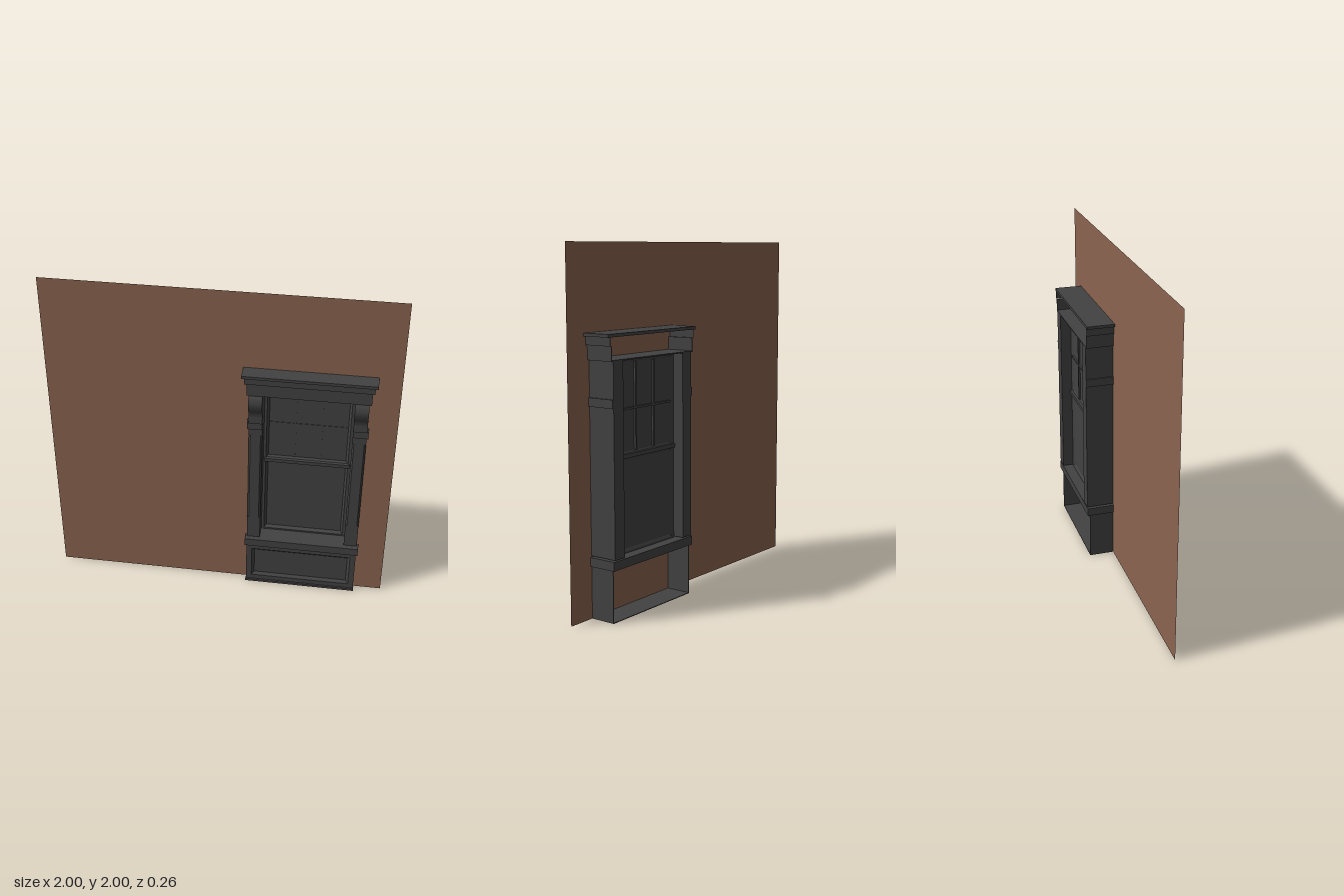
import * as THREE from 'three';

const CX = 0.5;      // centre line of the window
const WALL_Z = 0.035;
const BACK = -0.13;

export function createModel() {
  const model = new THREE.Group();
  model.name = 'windowInWall';
  const brick = new THREE.MeshStandardMaterial({ color: 0x8b6450, side: THREE.DoubleSide });
  brick.name = 'brown wall';
  const grey = new THREE.MeshStandardMaterial({ color: 0x424242, side: THREE.DoubleSide });
  grey.name = 'charcoal trim';

  const add = (name, geo, parent = model, mat = grey) => {
    const m = new THREE.Mesh(geo, mat);
    m.name = name;
    parent.add(m);
    return m;
  };
  // Box given by its extents
  const box = (name, x0, x1, y0, y1, z0, z1, parent = model) => {
    const m = add(name, new THREE.BoxGeometry(x1 - x0, y1 - y0, z1 - z0), parent);
    m.position.set((x0 + x1) / 2, (y0 + y1) / 2, (z0 + z1) / 2);
    return m;
  };
  // Centred box of half width h about the window's centre line
  const wide = (name, h, y0, y1, z0, z1, parent) => box(name, CX - h, CX + h, y0, y1, z0, z1, parent);
  const rect = (C, x0, x1, y0, y1) => {
    const s = new C();
    s.moveTo(x0, y0).lineTo(x1, y0).lineTo(x1, y1).lineTo(x0, y1).closePath();
    return s;
  };
  // Flat rectangular ring, extruded from z0 to z1
  const ring = (name, o, i, z0, z1, parent = model) => {
    const s = rect(THREE.Shape, ...o);
    s.holes.push(rect(THREE.Path, ...i));
    const g = new THREE.ExtrudeGeometry(s, { depth: z1 - z0, bevelEnabled: false });
    g.translate(0, 0, z0);
    return add(name, g, parent);
  };
  // Four sloping faces between an outer and an inner rectangle
  const bevel = (name, o, i, zo, zi, parent = model) => {
    const corners = ([x0, x1, y0, y1], z) => [[x0, y0, z], [x1, y0, z], [x1, y1, z], [x0, y1, z]];
    const a = corners(o, zo), b = corners(i, zi), pos = [];
    for (let k = 0; k < 4; k++) {
      const n = (k + 1) % 4;
      for (const p of [a[k], a[n], b[n], a[k], b[n], b[k]]) pos.push(...p);
    }
    const g = new THREE.BufferGeometry();
    g.setAttribute('position', new THREE.Float32BufferAttribute(pos, 3));
    g.computeVertexNormals();
    return add(name, g, parent);
  };
  const inset = ([x0, x1, y0, y1], d) => [x0 + d, x1 - d, y0 + d, y1 - d];

  // Wall sheet with the window opening
  const wall = rect(THREE.Shape, -1, 1, 0, 2);
  wall.holes.push(rect(THREE.Path, 0.2, 0.8, 0.315, 1.398));
  add('wall', new THREE.ShapeGeometry(wall), model, brick).position.z = WALL_Z;

  // Base with a recessed panel, thin sides and floor, open at the back
  const base = new THREE.Group();
  base.name = 'base';
  model.add(base);
  const panel = [0.2, 0.8, 0.045, 0.258];
  ring('basePanelFrame', [0.167, 0.833, 0, 0.29], panel, 0.05, 0.073, base);
  bevel('basePanelBevel', panel, inset(panel, 0.016), 0.073, 0.058, base);
  const field = inset(panel, 0.016);
  box('basePanelField', ...field, 0.05, 0.058, base);
  box('baseFloor', 0.167, 0.833, 0, 0.004, -0.115, 0.073, base);
  wide('baseLip', 0.336, 0, 0.014, 0.06, 0.083, base);
  for (const s of [-1, 1]) {
    const x = CX + s * 0.331;
    box('baseSide', x - 0.002, x + 0.002, 0, 0.29, -0.115, 0.073, base);
  }

  // Sill
  wide('sill', 0.343, 0.29, 0.34, BACK, 0.084);

  // Pilasters with chamfered shafts, collar blocks and scroll brackets
  for (const s of [-1, 1]) {
    const p = new THREE.Group();
    p.name = s < 0 ? 'rightPilaster' : 'leftPilaster';
    model.add(p);
    const xs = (a, b) => (s < 0 ? [CX - b, CX - a] : [CX + a, CX + b]);
    const [x0, x1] = xs(0.255, 0.333);
    box('pilasterFoot', x0, x1, 0.347, 0.5, BACK, 0.062, p);
    box('pilasterHead', x0, x1, 1.1, 1.4, BACK, 0.062, p);
    const c = 0.01;
    const section = new THREE.Shape();
    section.moveTo(x0, -BACK).lineTo(x1, -BACK).lineTo(x1, -0.062 + c).lineTo(x1 - c, -0.062)
      .lineTo(x0 + c, -0.062).lineTo(x0, -0.062 + c).closePath();
    const shaft = new THREE.ExtrudeGeometry(section, { depth: 0.6, bevelEnabled: false });
    shaft.rotateX(-Math.PI / 2);
    add('pilasterShaft', shaft, p).position.y = 0.5;

    const [b0, b1] = xs(0.255, 0.342);
    box('collarBlock', b0, b1, 1.15, 1.197, BACK, 0.075, p);

    // Bracket profile drawn in (z, y), then turned to run along x
    const prof = new THREE.Shape();
    prof.moveTo(0.03, 1.197).lineTo(0.084, 1.197).lineTo(0.084, 1.245);
    prof.splineThru([[0.09, 1.27], [0.106, 1.305], [0.114, 1.34], [0.107, 1.375], [0.09, 1.4]]
      .map(([z, y]) => new THREE.Vector2(z, y)));
    prof.lineTo(0.03, 1.4).closePath();
    const scroll = new THREE.ExtrudeGeometry(prof, { depth: x1 - x0, bevelEnabled: false, curveSegments: 16 });
    scroll.rotateY(-Math.PI / 2);
    scroll.translate(x1, 0, 0);
    add('scrollBracket', scroll, p);
  }

  // Cornice: frieze, moulding and cap, hollow behind the wall
  const cornice = new THREE.Group();
  cornice.name = 'cornice';
  model.add(cornice);
  wide('frieze', 0.345, 1.397, 1.472, WALL_Z + 0.005, 0.102, cornice);
  wide('corniceMoulding', 0.357, 1.472, 1.518, WALL_Z + 0.005, 0.11, cornice);
  wide('corniceCap', 0.372, 1.518, 1.535, BACK, 0.13, cornice);
  wide('headBoard', 0.345, 1.393, 1.4, BACK, 0.1, cornice);
  for (const s of [-1, 1]) {
    const a = CX + s * 0.343, b = CX + s * 0.355;
    box('friezeSide', a - 0.002, a + 0.002, 1.397, 1.472, BACK, 0.05, cornice);
    box('mouldingSide', b - 0.002, b + 0.002, 1.472, 1.518, BACK, 0.05, cornice);
  }

  // Sashes: frame, sloping bead and pane
  const sash = (name, outer, open, z0, z1) => {
    const g = new THREE.Group();
    g.name = name;
    model.add(g);
    ring('sashFrame', outer, open, z0, z1, g);
    const pane = inset(open, 0.013);
    bevel('sashBead', open, pane, z1, z1 - 0.018, g);
    bevel('sashBackBead', open, pane, z0, z0 + 0.008, g);
    box('pane', ...pane, z0 + 0.008, z1 - 0.018, g);
    return [g, pane];
  };
  sash('lowerSash', [0.245, 0.755, 0.338, 0.872], [0.26, 0.74, 0.35, 0.86], -0.065, -0.03);
  const [upper, pane] = sash('upperSash', [0.245, 0.755, 0.868, 1.396], [0.26, 0.74, 0.88, 1.385], -0.065, -0.033);
  wide('meetingRail', 0.25, 0.862, 0.884, -0.078, -0.02);

  // Glazing bars of the upper sash
  const [px0, px1, py0, py1] = pane;
  for (const k of [1, 2]) {
    const x = px0 + (px1 - px0) * k / 3;
    box('verticalBar', x - 0.006, x + 0.006, py0, py1, -0.068, -0.048, upper);
  }
  const my = (py0 + py1) / 2 - 0.008;
  box('horizontalBar', px0, px1, my - 0.006, my + 0.006, -0.068, -0.048, upper);

  return model;
}
